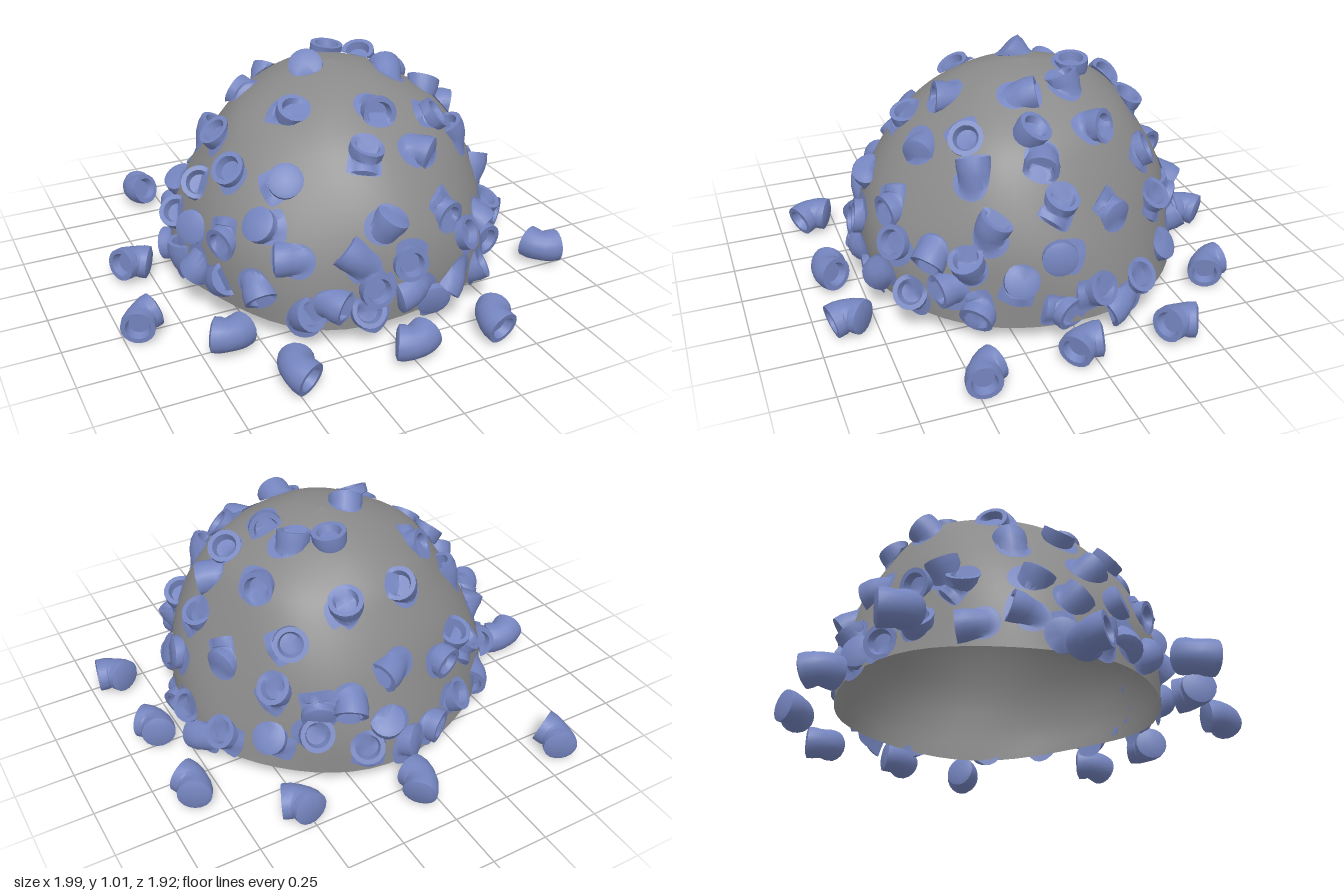
import * as THREE from 'three';
import { toCreasedNormals } from 'three/addons/utils/BufferGeometryUtils.js';

const grey = new THREE.MeshStandardMaterial({ color: 0x8a8a8a, side: THREE.DoubleSide });
const blue = new THREE.MeshStandardMaterial({ color: 0x7484be });

let seed = 7;
const rand = () => (seed = (seed * 16807) % 2147483647) / 2147483647;
const spread = a => (rand() * 2 - 1) * a;

// Joins closed rings of points into a surface
function loft(rings) {
  const n = rings[0].length, index = [];
  for (let i = 0; i < rings.length - 1; i++) {
    for (let j = 0; j < n; j++) {
      const a = i * n + j, b = i * n + (j + 1) % n;
      index.push(a, b, a + n, b, b + n, a + n);
    }
  }
  const g = new THREE.BufferGeometry().setFromPoints(rings.flat());
  g.setIndex(index);
  g.computeVertexNormals();
  return g;
}

// Dome: each row is y, xMin, xMax, zMin, zMax
const ROWS = [
  [0.11, -0.67, 0.74, -0.67, 0.72], [0.25, -0.66, 0.73, -0.65, 0.73],
  [0.40, -0.63, 0.70, -0.61, 0.71], [0.55, -0.56, 0.64, -0.56, 0.65],
  [0.70, -0.46, 0.56, -0.48, 0.55], [0.80, -0.37, 0.48, -0.41, 0.45],
  [0.90, -0.21, 0.32, -0.28, 0.30], [0.95, -0.08, 0.20, -0.15, 0.17],
  [0.975, 0.05, 0.05, 0, 0],
];
function domeGeometry() {
  const columns = 56, steps = 28, rings = Array.from({ length: steps + 1 }, () => []);
  for (let j = 0; j < columns; j++) {
    const a = j / columns * Math.PI * 2;
    const curve = new THREE.CatmullRomCurve3(ROWS.map(([y, x0, x1, z0, z1], i) => {
      const k = 1 + 0.016 * Math.sin(5 * a + i * 0.9) + 0.01 * Math.sin(3 * a - i * 0.6);
      const rim = i === 0 ? 0.016 * Math.sin(4 * a) : 0;
      return new THREE.Vector3((x0 + x1) / 2 + (x1 - x0) / 2 * Math.cos(a) * k, y + rim,
        (z0 + z1) / 2 - (z1 - z0) / 2 * Math.sin(a) * k);
    }));
    rings.forEach((ring, i) => ring.push(curve.getPoint(i / steps)));
  }
  return loft(rings);
}

// Short elbow: two straight stubs and a tight bend, one end flat, the other hollow.
// The notch of the bend faces +x; sections are [place along the path, radius]
const BEND = 0.075, HALF_ANGLE = 0.5, HALF_LENGTH = 0.074, R = 0.072;
const SECTIONS = [[-1, 0], [-1, 0.05], [-0.88, R], [-0.5, R], [-0.2, R * 0.94], [0.2, R * 0.94],
  [0.5, R], [1, R], [1, 0.052], [0.55, 0.042], [0.55, 0]];
function elbowGeometry() {
  return loft(SECTIONS.map(([t, r]) => {
    const s = t * HALF_LENGTH, ring = [];
    const th = THREE.MathUtils.clamp(s / BEND, -HALF_ANGLE, HALF_ANGLE), stub = s - th * BEND;
    for (let j = 0; j < 18; j++) {
      const a = j / 18 * Math.PI * 2, d = BEND + r * Math.cos(a);
      ring.push(new THREE.Vector3(BEND * 0.87 - d * Math.cos(th) + stub * Math.sin(th),
        -r * Math.sin(a), d * Math.sin(th) + stub * Math.cos(th)));
    }
    return ring;
  }));
}

// Loose elbows on the ground: x, z, yaw
const LOOSE = [
  [-0.59, -0.87, 0], [0.06, -0.81, -0.3], [0.54, -0.68, 0.6], [0.87, -0.37, 0],
  [0.87, 0.04, 0.2], [0.90, 0.46, 0.9], [0.38, 0.87, -0.3], [0, 0.87, 1.57],
  [-0.48, 0.85, 0], [-0.64, 0.52, 1.57], [-0.91, 0.27, -0.9], [-0.82, -0.17, -1.57],
];

// Embedded elbows, aimed at the dome from five sides
const FROM_TOP = [ // x, z
  [-0.08, -0.42], [0.19, -0.42], [0.43, -0.37], [-0.43, -0.24], [-0.28, -0.19], [0.12, -0.18],
  [0.44, -0.15], [0.26, -0.1], [-0.46, -0.01], [-0.06, 0], [0.28, 0.09], [0.44, 0.11],
  [0.53, 0.1], [-0.49, 0.22], [-0.24, 0.19], [-0.36, 0.4], [0.08, 0.35], [0.33, 0.35],
  [0.46, 0.36], [-0.04, 0.51], [0.21, 0.5], [0.48, 0.54], [-0.2, -0.54], [0.37, -0.53],
  [-0.38, -0.47], [-0.56, -0.24],
];
const FROM_FRONT = [ // x, y
  [-0.44, 0.5], [-0.02, 0.52], [0.25, 0.52], [-0.39, 0.39], [-0.15, 0.39], [0.06, 0.38],
  [0.36, 0.37], [0.52, 0.42], [-0.08, 0.28], [-0.25, 0.21], [0.07, 0.22], [0.28, 0.22],
  [0.44, 0.18], [0.55, 0.24], [-0.35, 0.15], [-0.5, 0.25], [-0.1, 0.15], [0.18, 0.15],
  [-0.57, 0.43], [-0.6, 0.21],
];
const FROM_LEFT = [ // z, y
  [0.37, 0.64], [-0.35, 0.66], [0.33, 0.5], [0.07, 0.57], [-0.16, 0.52], [-0.4, 0.44],
  [0.07, 0.4], [0.42, 0.36], [0.25, 0.28], [-0.04, 0.23], [-0.29, 0.2], [-0.45, 0.24],
  [-0.17, 0.14], [0.1, 0.17], [0.4, 0.18], [0.55, 0.2], [-0.54, 0.3],
];
const FROM_RIGHT = [ // z, y
  [-0.4, 0.42], [-0.22, 0.5], [0.03, 0.53], [0.3, 0.44], [0.13, 0.38], [-0.1, 0.34],
  [-0.3, 0.25], [-0.45, 0.2], [-0.17, 0.18], [0.02, 0.2], [0.17, 0.23], [0.32, 0.2], [0.46, 0.25],
];
const FROM_BACK = [ // x, y
  [-0.3, 0.48], [0.05, 0.51], [0.25, 0.42], [0.45, 0.44], [-0.12, 0.38], [-0.42, 0.32],
  [0.1, 0.3], [-0.25, 0.24], [0.37, 0.24], [0.52, 0.2], [-0.1, 0.19], [0.02, 0.17],
  [0.2, 0.19], [-0.45, 0.18],
];

export function createModel() {
  const model = new THREE.Group();
  const dome = new THREE.Mesh(domeGeometry(), grey);
  dome.name = 'domeShell';
  model.add(dome);

  const whole = toCreasedNormals(elbowGeometry(), 0.7);
  const loose = new THREE.Group();
  loose.name = 'looseElbows';
  for (const [x, z, yaw] of LOOSE) {
    const m = new THREE.Mesh(whole, blue);
    m.name = 'looseElbow';
    m.position.set(x, 0.1, z);
    m.rotation.set(spread(0.2), yaw, spread(0.4), 'YXZ');
    loose.add(m);
  }
  model.add(loose);

  const studs = new THREE.Group();
  studs.name = 'embeddedElbows';
  const ray = new THREE.Raycaster(), up = new THREE.Vector3(0, 0, 1);
  function embed(origin, direction) {
    ray.set(origin, direction);
    const hit = ray.intersectObject(dome)[0];
    if (!hit || studs.children.some(s => s.position.distanceTo(hit.point) < 0.115)) return;
    // Tilt an end outwards, sink it, and trim the buried half along the curve of the shell
    const g = elbowGeometry();
    if (rand() < 0.4) g.rotateX(Math.PI);
    g.rotateX(spread(0.7)).rotateY(spread(1.1)).rotateZ(spread(Math.PI));
    const p = g.attributes.position;
    for (let i = 0; i < p.count; i++) {
      const floor = 0.003 - 0.45 * (p.getX(i) ** 2 + p.getY(i) ** 2);
      p.setZ(i, Math.max(p.getZ(i) - 0.03, floor));
    }
    const m = new THREE.Mesh(toCreasedNormals(g, 0.7), blue);
    m.name = 'embeddedElbow';
    m.position.copy(hit.point);
    m.quaternion.setFromUnitVectors(up, hit.face.normal);
    studs.add(m);
  }
  const v = (x, y, z) => new THREE.Vector3(x, y, z);
  FROM_TOP.forEach(([x, z]) => embed(v(x, 2, z), v(0, -1, 0)));
  FROM_FRONT.forEach(([x, y]) => embed(v(x, y, 2), v(0, 0, -1)));
  FROM_LEFT.forEach(([z, y]) => embed(v(2, y, z), v(-1, 0, 0)));
  FROM_RIGHT.forEach(([z, y]) => embed(v(-2, y, z), v(1, 0, 0)));
  FROM_BACK.forEach(([x, y]) => embed(v(x, y, -2), v(0, 0, 1)));
  model.add(studs);
  return model;
}
